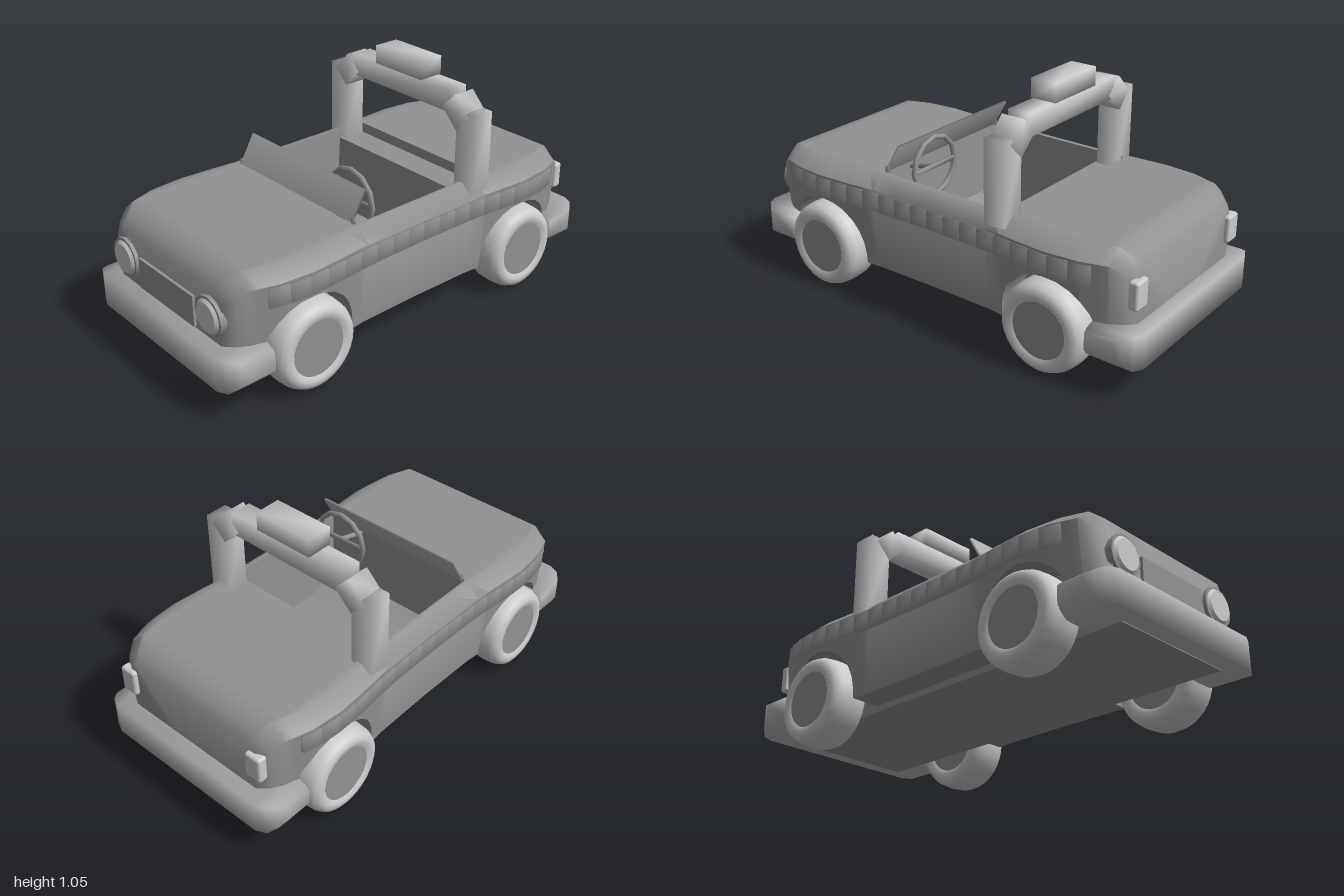
import * as THREE from 'three';
import { mergeVertices, toCreasedNormals } from 'three/addons/utils/BufferGeometryUtils.js';
import { RoundedBoxGeometry } from 'three/addons/geometries/RoundedBoxGeometry.js';

const light = new THREE.MeshStandardMaterial({ color: 0xcccccc });
const mid = new THREE.MeshStandardMaterial({ color: 0xaeaeae });
const dark = new THREE.MeshStandardMaterial({ color: 0x929292 });
const AXLE = 0.59, WHEEL_Y = 0.2, ARCH = 0.22;

// Linear lookup in rows of [key, value, value...]
function lookup(rows, k, col) {
  let i = 1;
  while (i < rows.length - 1 && rows[i][0] < k) i++;
  const a = rows[i - 1], b = rows[i];
  const t = THREE.MathUtils.clamp((k - a[0]) / (b[0] - a[0]), 0, 1);
  return THREE.MathUtils.lerp(a[col], b[col], t);
}

// Box with soft, shared corner normals
function softBox(w, h, d) {
  const g = new THREE.BoxGeometry(w, h, d);
  g.deleteAttribute('normal');
  g.deleteAttribute('uv');
  const soft = mergeVertices(g);
  soft.computeVertexNormals();
  return soft;
}

// Skin closed rings of points, with a cap at each end
function loft(rings, crease) {
  const pos = [], n = rings[0].length;
  const tri = (a, b, c) => pos.push(...a, ...b, ...c);
  for (let i = 0; i < rings.length - 1; i++) {
    for (let j = 0; j < n; j++) {
      const k = (j + 1) % n, p = rings[i], q = rings[i + 1];
      tri(p[j], p[k], q[k]);
      tri(p[j], q[k], q[j]);
    }
  }
  const first = rings[0], last = rings[rings.length - 1];
  for (let j = 1; j < n - 1; j++) {
    tri(first[0], first[j + 1], first[j]);
    tri(last[0], last[j], last[j + 1]);
  }
  const g = new THREE.BufferGeometry();
  g.setAttribute('position', new THREE.Float32BufferAttribute(pos, 3));
  return toCreasedNormals(g, crease);
}

// Body outline by distance from the middle: side x, top edge x, top y
const outline = [
  [0, 0.456, 0.4, 0.585], [0.3, 0.46, 0.4, 0.585], [0.42, 0.472, 0.41, 0.585],
  [0.59, 0.484, 0.42, 0.585], [0.74, 0.47, 0.405, 0.585], [0.85, 0.435, 0.37, 0.583],
  [0.9, 0.405, 0.345, 0.545], [0.935, 0.365, 0.33, 0.51],
];
// Cockpit floor height along z: rear shelf, floor, footwell ramp, front wall
const cockpit = [
  [-0.402, 0.585], [-0.4, 0.54], [-0.275, 0.54], [-0.255, 0.2],
  [0.155, 0.2], [0.302, 0.27], [0.305, 0.585],
];

function underside(z) {
  const d = Math.abs(z) - AXLE;
  return Math.abs(d) < ARCH ? WHEEL_Y + Math.sqrt(ARCH * ARCH - d * d) : 0.16;
}

function bodyGeometry() {
  const zs = cockpit.map(r => r[0]);
  for (const s of [-1, 1]) {
    outline.forEach(r => zs.push(s * r[0]));
    zs.push(s * (AXLE - ARCH - 0.001), s * (AXLE + ARCH + 0.001));
    for (let a = 0; a <= 12; a++) {
      zs.push(s * (AXLE + (ARCH - 0.0001) * Math.cos(a * Math.PI / 12)));
    }
  }
  const stations = [...new Set(zs.map(z => +z.toFixed(5) + 0))].sort((a, b) => a - b);
  return loft(stations.map(z => {
    const [xs, xt, yt] = [1, 2, 3].map(c => lookup(outline, Math.abs(z), c));
    const yb = underside(z);
    const yf = z > -0.402 && z < 0.305 ? lookup(cockpit, z, 1) : yt;
    const xi = Math.min(0.38, xt - 0.01);
    const half = [[xs - 0.07 * (0.53 - yb), yb], [xs, yt - 0.055], [xt, yt], [xi, yt], [xi, yf]];
    return [[0, yb, z], ...half.map(p => [...p, z]), [0, yf, z],
      ...half.reverse().map(p => [-p[0], p[1], z])];
  }), 0.9);
}

// Bumper cross-sections run along x: x, bottom y, top y, front z
function bumperGeometry() {
  const side = [[0.49, 0.185, 0.255, 0.9], [0.475, 0.163, 0.27, 0.945], [0.445, 0.138, 0.282, 0.98], [0.4, 0.136, 0.282, 1]];
  const rows = [...side.map(r => [-r[0], ...r.slice(1)]), ...side.slice().reverse()];
  return loft(rows.map(([x, y0, y1, z]) => [[x, y0, 0.79], [x, y1, 0.79], [x, y1, z], [x, y0, z]]), 1.7);
}

export function createModel() {
  const car = new THREE.Group();
  car.name = 'openCar';
  function add(name, geometry, material, x = 0, y = 0, z = 0, parent = car) {
    const m = new THREE.Mesh(geometry, material);
    m.name = name;
    m.position.set(x, y, z);
    parent.add(m);
    return m;
  }

  // Body and chassis
  add('body', bodyGeometry(), dark);
  add('chassis', new THREE.BoxGeometry(0.62, 0.045, 1.86), dark, 0, 0.155, 0);
  for (const s of [-1, 1]) {
    add('wheelWellCore', new THREE.BoxGeometry(0.62, 0.29, 0.45), dark, 0, 0.285, s * AXLE);
    add(s > 0 ? 'frontBumper' : 'rearBumper', bumperGeometry(), mid).rotation.y = s > 0 ? 0 : Math.PI;
  }

  // Wheels: rounded tyre around a darker hub disc
  const tyreProfile = [[0.12, -0.08], [0.14, -0.091], [0.16, -0.089], [0.178, -0.078], [0.19, -0.052], [0.194, 0],
    [0.19, 0.052], [0.178, 0.078], [0.16, 0.089], [0.14, 0.091], [0.12, 0.08], [0.12, -0.08]];
  const tyre = toCreasedNormals(new THREE.LatheGeometry(
    tyreProfile.map(p => new THREE.Vector2(...p)), 32), 0.8);
  const hub = new THREE.CylinderGeometry(0.122, 0.122, 0.164, 32);
  for (const sx of [-1, 1]) for (const sz of [-1, 1]) {
    const wheel = new THREE.Group();
    wheel.name = (sz > 0 ? 'front' : 'rear') + (sx > 0 ? 'Left' : 'Right') + 'Wheel';
    wheel.position.set(sx * 0.421, 0.198, sz * AXLE);
    wheel.rotation.z = -sx * Math.PI / 2;
    add('tyre', tyre, light, 0, 0, 0, wheel);
    add('hub', hub, dark, 0, 0, 0, wheel);
    car.add(wheel);
  }

  // Row of trim tiles along each side, following the body
  const tiles = 18, step = 1.575 / tiles;
  for (const s of [-1, 1]) for (let i = 0; i < tiles; i++) {
    const z = -0.7875 + (i + 0.5) * step;
    const x0 = lookup(outline, Math.abs(z - step / 2), 1), x1 = lookup(outline, Math.abs(z + step / 2), 1);
    const tile = add('trimTile', softBox(0.03, 0.08, step * 0.99), dark,
      s * ((x0 + x1) / 2 - 0.004), 0.48, z);
    tile.rotation.y = s * Math.atan2(x1 - x0, step);
  }

  // Front and rear lights, grille
  const rim = new THREE.CylinderGeometry(0.086, 0.086, 0.03, 12).rotateX(Math.PI / 2);
  const lens = new THREE.CylinderGeometry(0.062, 0.075, 0.012, 24).rotateX(Math.PI / 2);
  for (const s of [-1, 1]) {
    add('headlightRim', rim, dark, s * 0.293, 0.392, 0.936);
    add('headlightLens', lens, light, s * 0.293, 0.392, 0.956);
    add('tailLight', new RoundedBoxGeometry(0.08, 0.12, 0.045, 2, 0.012), light, s * 0.358, 0.415, -0.934);
  }
  add('grille', new THREE.BoxGeometry(0.38, 0.136, 0.03), dark, 0, 0.362, 0.933);

  // Windscreen with small end brackets
  add('windscreen', softBox(0.73, 0.142, 0.012), mid, 0, 0.65, 0.268).rotation.x = -0.52;
  for (const s of [-1, 1]) add('windscreenBracket', softBox(0.012, 0.025, 0.016), dark, s * 0.368, 0.596, 0.297);

  // Steering wheel on its column
  const steering = new THREE.Group();
  steering.name = 'steeringWheel';
  steering.position.set(0.21, 0.594, 0.172);
  add('rim', new THREE.TorusGeometry(0.13, 0.012, 6, 12), dark, 0, 0, 0, steering);
  add('spoke', softBox(0.25, 0.02, 0.012), dark, 0, 0, 0, steering);
  add('column', new THREE.CylinderGeometry(0.012, 0.012, 0.15, 8).rotateX(Math.PI / 2 + 0.25), dark, 0, -0.018, 0.07, steering);
  car.add(steering);

  // Roll bar with a light box on top
  const bar = new THREE.Group();
  bar.name = 'rollBar';
  bar.position.z = -0.338;
  for (const s of [-1, 1]) {
    add('post', softBox(0.1, 0.36, 0.104), light, s * 0.4, 0.72, 0, bar);
    add('brace', softBox(0.118, 0.1, 0.106), light, s * 0.342, 0.888, 0, bar).rotation.z = -s * Math.PI / 4;
  }
  add('crossBar', softBox(0.6, 0.098, 0.1), light, 0, 0.926, 0, bar);
  add('lightBox', softBox(0.28, 0.082, 0.12), light, 0, 1.016, 0, bar);
  car.add(bar);
  return car;
}
